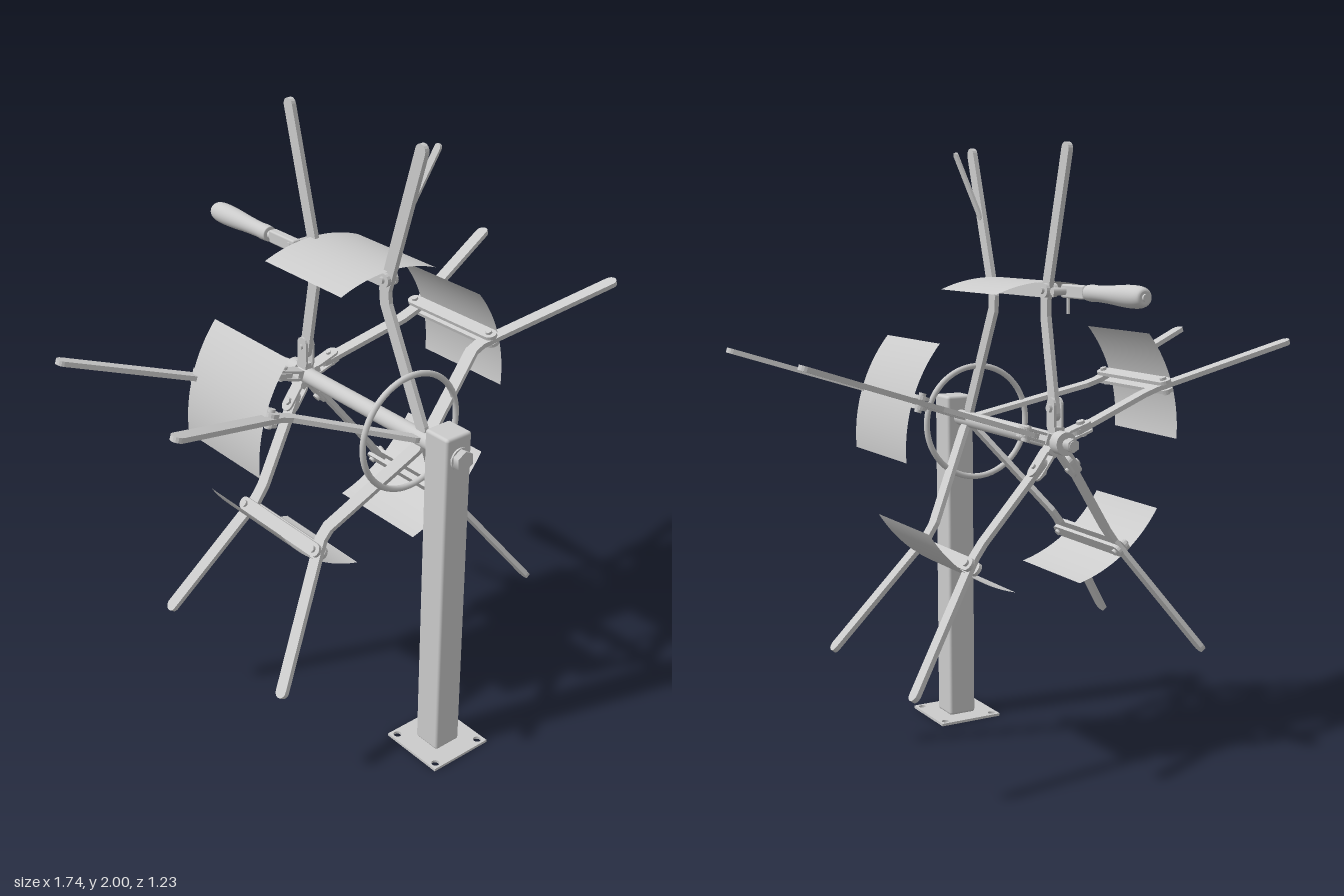
import * as THREE from 'three';
import { RoundedBoxGeometry } from 'three/addons/geometries/RoundedBoxGeometry.js';

const AXIS_Y = 1.085;
const grey = new THREE.MeshStandardMaterial({ color: 0xcccccc });
const sheet = new THREE.MeshStandardMaterial({ color: 0xcccccc, side: THREE.DoubleSide });
const V = (x, y) => new THREE.Vector2(x, y);

function add(parent, name, geometry, x = 0, y = 0, z = 0, material = grey) {
  const mesh = new THREE.Mesh(geometry, material);
  mesh.name = name;
  mesh.position.set(x, y, z);
  parent.add(mesh);
  return mesh;
}

// Outline of a bent strip with round ends, following centre points
function stripShape(points, width) {
  const h = width / 2, n = points.length, left = [], right = [];
  const dir = i => points[i + 1].clone().sub(points[i]).normalize();
  points.forEach((p, i) => {
    const a = dir(Math.max(i - 1, 0)), b = dir(Math.min(i, n - 2));
    const t = a.clone().add(b).normalize();
    const k = h / t.dot(a);
    left.push(V(p.x - t.y * k, p.y + t.x * k));
    right.unshift(V(p.x + t.y * k, p.y - t.x * k));
  });
  const cap = (p, d) => {
    const start = Math.atan2(d.x, -d.y), out = [];
    for (let i = 1; i < 8; i++) {
      const a = start - Math.PI * i / 8;
      out.push(V(p.x + h * Math.cos(a), p.y + h * Math.sin(a)));
    }
    return out;
  };
  return new THREE.Shape([...left, ...cap(points[n - 1], dir(n - 2)),
    ...right, ...cap(points[0], dir(0).negate())]);
}

// Strip lying in the axial / radial plane: points are [z, radius]
function strip(points, width, thickness) {
  const g = new THREE.ExtrudeGeometry(stripShape(points.map(p => V(...p)), width),
    { depth: thickness, bevelEnabled: false });
  return g.translate(0, 0, -thickness / 2).rotateY(-Math.PI / 2);
}

// Cylinders along z (between two z values) and along x (centred)
const rodZ = (r, z0, z1, sides = 24) =>
  new THREE.CylinderGeometry(r, r, Math.abs(z1 - z0), sides).rotateX(Math.PI / 2).translate(0, 0, (z0 + z1) / 2);
const rodX = (r, length, sides = 16) =>
  new THREE.CylinderGeometry(r, r, length, sides).rotateZ(Math.PI / 2);

function makeStand() {
  const stand = new THREE.Group();
  stand.name = 'stand';
  // Foot plate with four bolt holes
  const s = 0.115;
  const plate = new THREE.Shape([V(-s, -s), V(s, -s), V(s, s), V(-s, s)]);
  for (const x of [-0.093, 0.093]) for (const y of [-0.093, 0.093]) {
    plate.holes.push(new THREE.Path().absarc(x, y, 0.013, 0, Math.PI * 2, true));
  }
  add(stand, 'footPlate', new THREE.ExtrudeGeometry(plate, { depth: 0.009, bevelEnabled: false })
    .rotateX(-Math.PI / 2), 0, 0, 0.5);
  add(stand, 'post', new RoundedBoxGeometry(0.1, 1.152, 0.1, 3, 0.01), 0, 0.584, 0.5);
  return stand;
}

function makeAxle() {
  const axle = new THREE.Group();
  axle.name = 'axle';
  axle.position.y = AXIS_Y;
  add(axle, 'shaft', rodZ(0.027, 0.46, -0.22));
  add(axle, 'frontWasher', rodZ(0.036, 0.548, 0.556));
  add(axle, 'frontBoltHead', rodZ(0.034, 0.556, 0.578, 6));
  add(axle, 'backCollar', rodZ(0.037, -0.212, -0.256));
  add(axle, 'threadedEnd', rodZ(0.016, -0.25, -0.3));
  add(axle, 'backNut', rodZ(0.022, -0.268, -0.297, 6));
  return axle;
}

// One spoke: front and back arms, clamp bars, curved panel and hinge
function makeSpoke() {
  const spoke = new THREE.Group();
  spoke.name = 'spoke';
  add(spoke, 'frontArm', strip([[0.385, 0.035], [0.212, 0.385], [0.208, 0.43], [0.354, 0.892]], 0.042, 0.016));
  add(spoke, 'backArm', strip([[-0.185, 0.085], [-0.128, 0.385], [-0.128, 0.44], [-0.25, 0.892]], 0.042, 0.016));

  for (const side of [-1, 1]) {
    add(spoke, 'clampBar', strip([[-0.148, 0.467], [0.22, 0.467]], 0.044, 0.012), side * 0.015, 0, 0);
    add(spoke, 'hingeCheek', strip([[-0.185, 0.05], [-0.185, 0.115]], 0.046, 0.008), side * 0.013, 0, 0);
  }
  for (const z of [-0.143, 0.215]) {
    add(spoke, 'clampBolt', rodX(0.011, 0.06), 0, 0.467, z);
  }
  add(spoke, 'hingeBase', new THREE.BoxGeometry(0.034, 0.02, 0.046), 0, 0.037, -0.19);
  add(spoke, 'hingePin', rodX(0.008, 0.05), 0, 0.105, -0.185);
  add(spoke, 'hingePinHead', rodX(0.014, 0.01, 6), 0.022, 0.105, -0.185);

  // Thin panel curved around the axle
  const half = 0.385;
  add(spoke, 'panel', new THREE.CylinderGeometry(0.494, 0.494, 0.37, 24, 1, true, -half, half * 2)
    .rotateX(-Math.PI / 2), 0, 0, 0.04, sheet);
  return spoke;
}

function makeHandle() {
  const handle = new THREE.Group();
  handle.name = 'handle';
  handle.position.set(-0.045, 1.55, 0);
  add(handle, 'handleBracket', new RoundedBoxGeometry(0.03, 0.042, 0.13, 2, 0.006), 0, 0, -0.23);
  add(handle, 'handleRod', rodZ(0.014, -0.28, -0.34));
  add(handle, 'handleBolt', rodX(0.012, 0.08), 0.02, 0, -0.19);
  add(handle, 'lockPin', new THREE.CylinderGeometry(0.005, 0.005, 0.06, 10), 0, -0.04, -0.187);
  // Turned grip
  const profile = [[0.024, 0.305], [0.026, 0.33], [0.025, 0.36], [0.027, 0.42], [0.032, 0.49],
    [0.034, 0.54], [0.032, 0.58], [0.026, 0.6], [0.018, 0.605]];
  const curve = new THREE.SplineCurve(profile.map(p => V(...p))).getPoints(28);
  add(handle, 'grip', new THREE.LatheGeometry([V(0, 0.305), ...curve, V(0, 0.605)], 28).rotateX(-Math.PI / 2));
  add(handle, 'gripEnd', rodZ(0.011, -0.6, -0.612));
  return handle;
}

export function createModel() {
  const model = new THREE.Group();
  model.name = 'windingReel';
  model.add(makeStand(), makeAxle(), makeHandle());

  const reel = new THREE.Group();
  reel.name = 'reel';
  reel.position.y = AXIS_Y;
  for (let i = 0; i < 5; i++) {
    const spoke = makeSpoke();
    spoke.rotation.z = i * Math.PI * 2 / 5;
    reel.add(spoke);
  }
  // Hoop joining the front arms
  add(reel, 'hoop', new THREE.TorusGeometry(0.19, 0.01, 12, 64), 0, 0, 0.332);

  // Springy clip leaf leaning off the top front arm
  const leaf = add(reel, 'clipLeaf', strip([[0, 0], [0.062, 0.205]], 0.024, 0.008), 0.008, 0.69, 0.288);
  leaf.rotation.z = -0.27;
  model.add(reel);
  return model;
}
